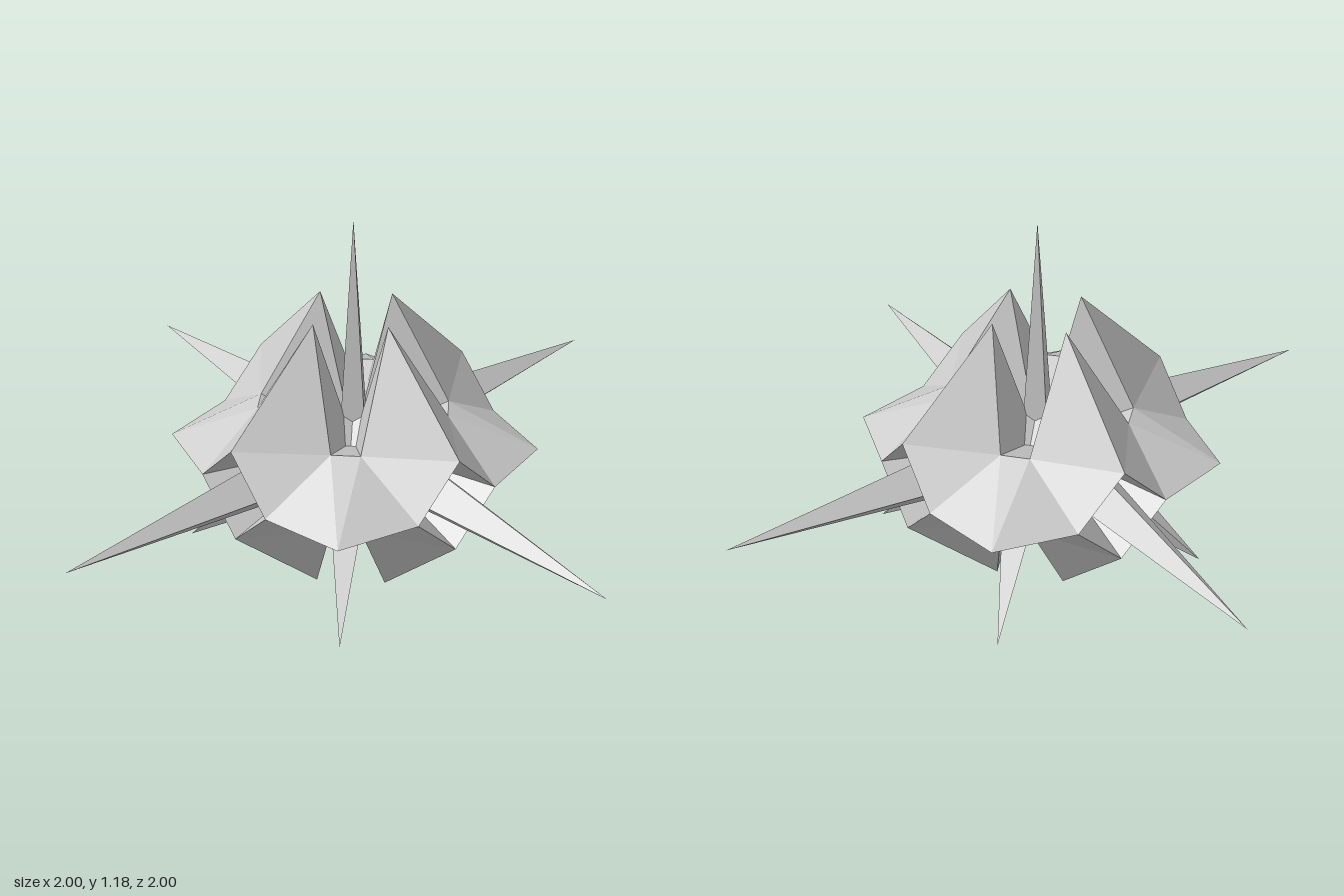
import * as THREE from 'three';

const CENTRE_Y = 0.457;

// One octant of the shell (mirrored to the other seven); y is measured from the centre
const P = {
  O: [0, 0, 0],
  topA: [0, 0.45, 0.15], topB: [0.15, 0.45, 0],
  rimA: [0, 0.15, 0.452], rimB: [0.452, 0.15, 0],
  sideA: [0.15, 0, 0.452], sideB: [0.452, 0, 0.15],
  corner: [0.393, 0, 0.393],
  slotA: [0.17, 0.13, 0.23], slotB: [0.23, 0.13, 0.17],
  thornBack: [0.13, 0.23, 0.13], thornTip: [0.365, 0.372, 0.365],
};

const SHELL = [
  // outer plates
  'topA rimA slotA', 'rimA sideA slotA', 'sideA corner slotA', 'corner slotB slotA',
  'corner sideB slotB', 'sideB rimB slotB', 'rimB topB slotB',
  // walls of the side pits
  'sideA rimA O', 'rimB sideB O',
  // walls of the notch between the upper tips
  'slotB topB O', 'slotA slotB O', 'topA slotA O',
];

const THORN = [
  'slotA slotB thornTip', 'slotB thornBack thornTip', 'thornBack slotA thornTip',
  'thornBack slotB O', 'slotA thornBack O',
];

const material = new THREE.MeshStandardMaterial({
  color: 0xcccccc, flatShading: true, side: THREE.DoubleSide,
});

// Mirrors a list of named triangles into the octant given by the signs
function octantMesh(name, faces, sx, sy, sz) {
  const positions = [];
  for (const face of faces) {
    const corners = face.split(' ');
    if (sx * sy * sz < 0) corners.reverse();
    for (const c of corners) {
      const [x, y, z] = P[c];
      positions.push(x * sx, y * sy, z * sz);
    }
  }
  const geometry = new THREE.BufferGeometry();
  geometry.setAttribute('position', new THREE.Float32BufferAttribute(positions, 3));
  geometry.computeVertexNormals();
  const mesh = new THREE.Mesh(geometry, material);
  mesh.name = name;
  return mesh;
}

// Four-sided spike from the centre along a direction
function spike(name, direction, length, radius) {
  const geometry = new THREE.ConeGeometry(radius, length, 4, 1, true);
  geometry.translate(0, length / 2, 0);
  const mesh = new THREE.Mesh(geometry, material);
  mesh.quaternion.setFromUnitVectors(new THREE.Vector3(0, 1, 0), direction);
  mesh.name = name;
  return mesh;
}

export function createModel() {
  const model = new THREE.Group();
  model.name = 'spikedStar';
  const body = new THREE.Group();
  body.name = 'body';
  body.position.y = CENTRE_Y;
  model.add(body);

  // shell plates, with a thorn in each lower notch
  for (const sx of [1, -1]) for (const sz of [1, -1]) {
    for (const sy of [1, -1]) {
      body.add(octantMesh(sy > 0 ? 'upperShell' : 'lowerShell', SHELL, sx, sy, sz));
    }
    body.add(octantMesh('lowerThorn', THORN, sx, -1, sz));
  }

  // long horizontal spikes and the thin one on top
  for (const s of [1, -1]) {
    body.add(spike('sideSpike', new THREE.Vector3(s, 0, 0), 1, 0.12));
    body.add(spike(s > 0 ? 'frontSpike' : 'backSpike', new THREE.Vector3(0, 0, s), 1, 0.12));
  }
  body.add(spike('topSpike', new THREE.Vector3(0, 1, 0), 0.725, 0.058));

  return model;
}
